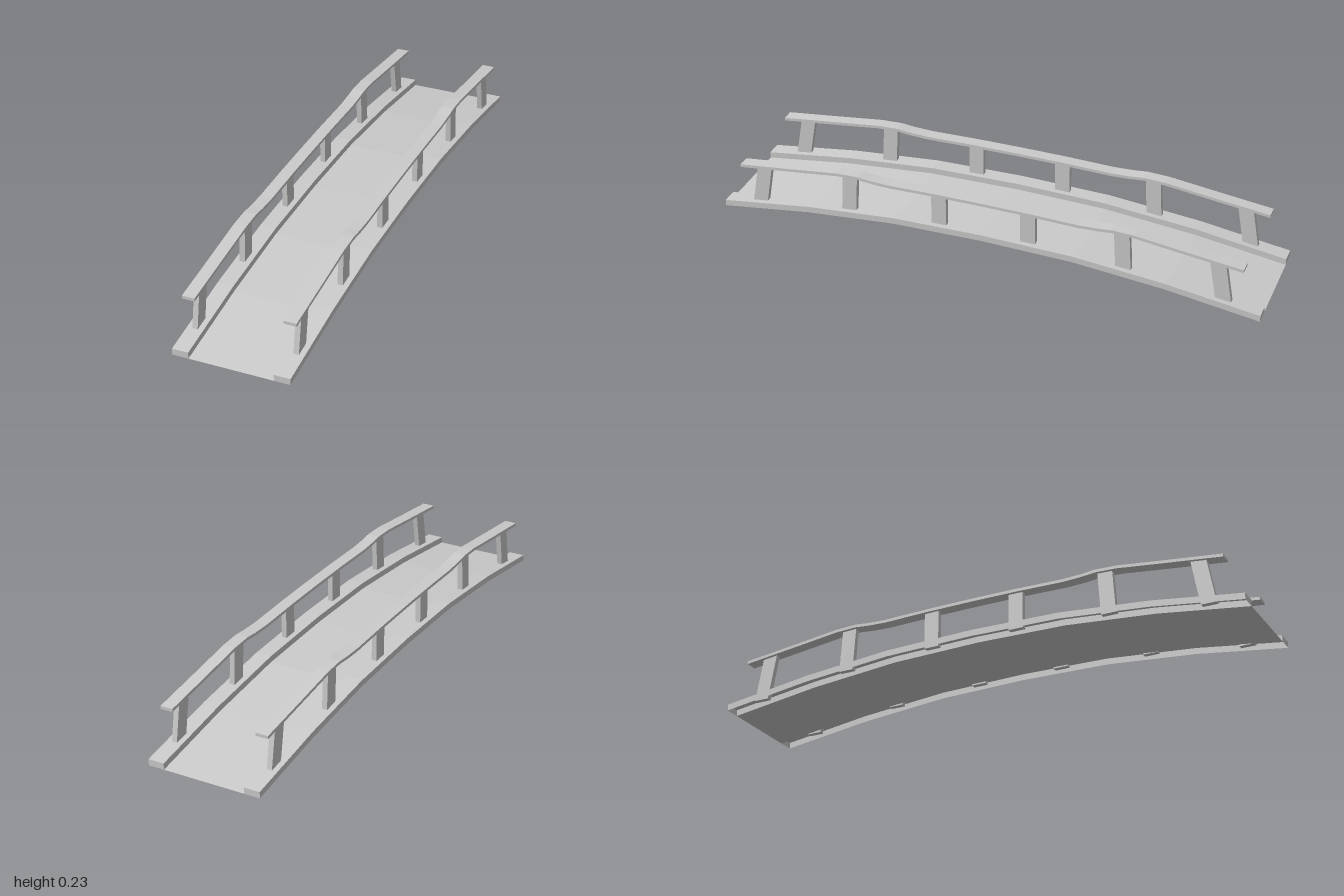
import * as THREE from 'three';

const material = new THREE.MeshStandardMaterial({ color: 0xcccccc, flatShading: true, side: THREE.DoubleSide });

// Mirrors a half profile of [z, y] (outer end first, z = 0 last) into a full path
const mirrorPath = (half) => [...half, ...half.slice(0, -1).reverse().map(([z, y]) => [-z, y])];

// Sweeps an [x, dy] section along a [z, y] path; caps close four-point sections
function sweep(name, path, section, closed) {
  const pos = [], n = section.length;
  const at = (i, j) => [section[j % n][0], path[i][1] + section[j % n][1], path[i][0]];
  const quad = (a, b, c, d) => pos.push(...a, ...b, ...c, ...a, ...c, ...d);
  const last = path.length - 1;
  for (let i = 0; i < last; i++)
    for (let j = 0; j < (closed ? n : n - 1); j++)
      quad(at(i, j), at(i, j + 1), at(i + 1, j + 1), at(i + 1, j));
  if (n === 4) {
    quad(at(0, 3), at(0, 2), at(0, 1), at(0, 0));
    quad(at(last, 0), at(last, 1), at(last, 2), at(last, 3));
  }
  const geo = new THREE.BufferGeometry();
  geo.setAttribute('position', new THREE.Float32BufferAttribute(pos, 3));
  geo.computeVertexNormals();
  const mesh = new THREE.Mesh(geo, material);
  mesh.name = name;
  return mesh;
}

// Four-sided section, running clockwise from the lower left corner
const box = (x0, x1, y0, y1) => [[x0, y0], [x0, y1], [x1, y1], [x1, y0]];

// Leaning post with level top and bottom
function post(name, x, [z0, y0], [z1, y1]) {
  const geo = new THREE.BoxGeometry(0.019, 1, 0.055);
  const p = geo.attributes.position;
  for (let i = 0; i < p.count; i++) {
    const t = p.getY(i) + 0.5;
    p.setY(i, y0 + (y1 - y0) * t);
    p.setZ(i, p.getZ(i) + z0 + (z1 - z0) * t);
  }
  geo.computeVertexNormals();
  const mesh = new THREE.Mesh(geo, material);
  mesh.name = name;
  mesh.position.x = x;
  return mesh;
}

export function createModel() {
  const bridge = new THREE.Group();
  bridge.name = 'footbridge';

  // Arched walkway
  const arch = mirrorPath([[1, 0], [0.667, 0.047], [0.333, 0.077], [0, 0.084]]);
  bridge.add(sweep('deck', arch, [[-0.15, 0], [0.15, 0]], false));

  // Handrail line and posts (foot and head as [z, y])
  const railPath = mirrorPath([[0.93, 0.186], [0.72, 0.211], [0.55, 0.232], [0.47, 0.235],
    [0.42, 0.23], [0.35, 0.227], [0.17, 0.231], [0, 0.232]]);
  const posts = [
    [[0.868, 0.024], [0.838, 0.192]],
    [[0.512, 0.067], [0.502, 0.226]],
    [[0.165, 0.085], [0.165, 0.224]],
  ];

  for (const s of [1, -1]) {
    const side = s > 0 ? 'left' : 'right';
    const span = (a, b, y0, y1) => (s > 0 ? box(a, b, y0, y1) : box(-b, -a, y0, y1));
    // Curb is a channel open underneath
    bridge.add(sweep(side + 'Curb', arch, span(0.15, 0.208, 0, 0.023), false));
    bridge.add(sweep(side + 'Handrail', railPath, span(0.155, 0.2, -0.011, 0), true));
    for (const [foot, head] of posts)
      for (const e of [1, -1])
        bridge.add(post(side + 'Post', s * 0.179, [e * foot[0], foot[1]], [e * head[0], head[1]]));
  }
  return bridge;
}
